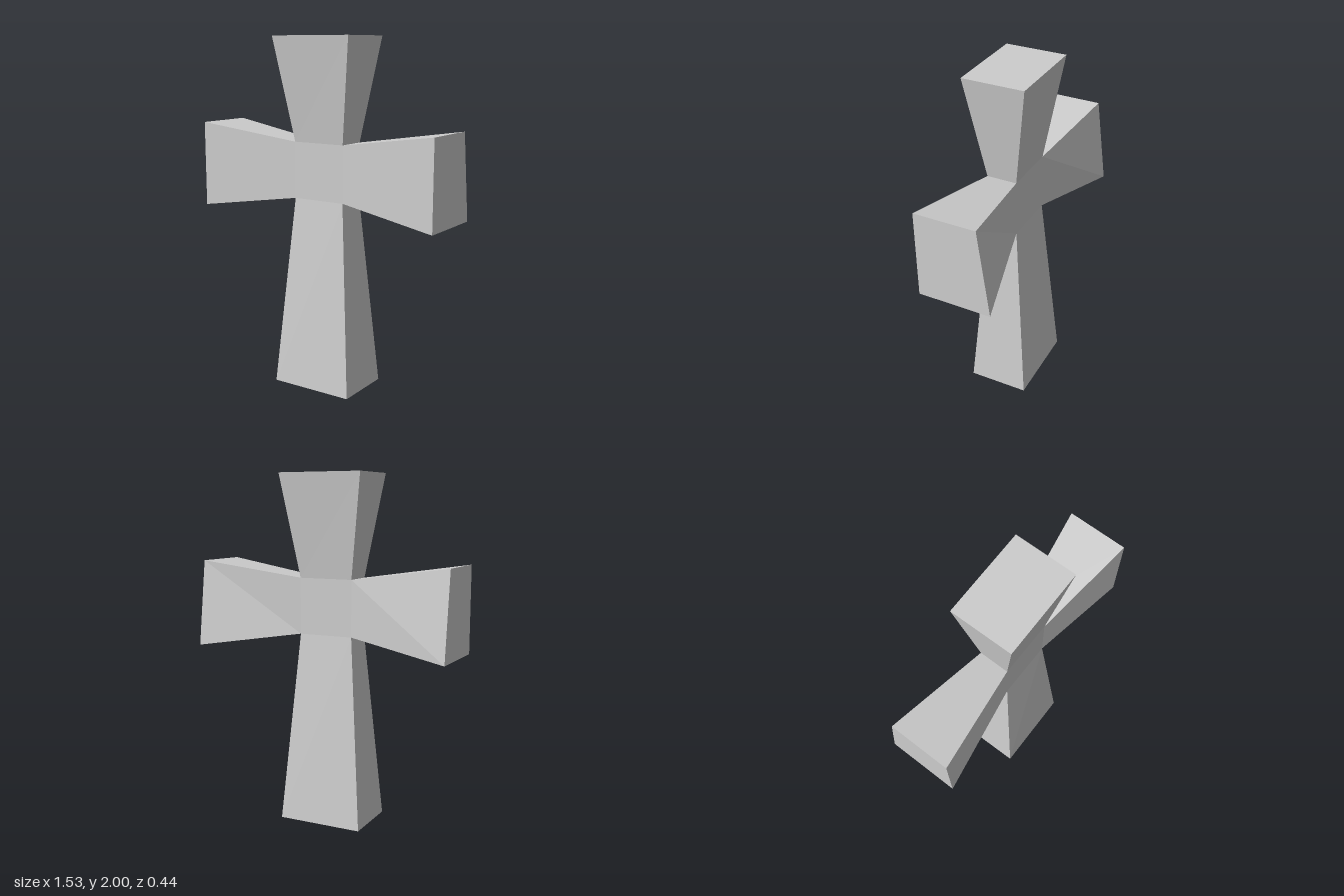
import * as THREE from 'three';

// Flat-shaded mesh from quads, corners counter-clockwise seen from outside
function quadMesh(name, quads, material) {
  const points = quads.flatMap(([a, b, c, d]) => [a, b, c, a, c, d]);
  const geometry = new THREE.BufferGeometry();
  geometry.setAttribute('position', new THREE.Float32BufferAttribute(points.flat(), 3));
  geometry.computeVertexNormals();
  const mesh = new THREE.Mesh(geometry, material);
  mesh.name = name;
  return mesh;
}

// Flared arm: four sides from the root ring to the tip ring, plus the end cap
function flaredArm(name, root, tip, material) {
  const quads = root.map((corner, i) => {
    const j = (i + 1) % 4;
    return [corner, root[j], tip[j], tip[i]];
  });
  quads.push(tip);
  return quadMesh(name, quads, material);
}

// Rectangle at height y, slightly turned about the vertical axis:
// front left, front right, back right, back left
const ring = (y, w, front, back) => [
  [-w, y, front - 0.008], [w - 0.003, y, front], [w, y, back], [-w + 0.003, y, back - 0.008],
];

export function createModel() {
  const stone = new THREE.MeshStandardMaterial({ color: 0xcccccc });
  stone.name = 'lightGrey';
  const group = new THREE.Group();
  group.name = 'flaredCross';

  // Rings of the crossing block and of the upright's two ends
  const upper = ring(1.415, 0.162, 0.121, -0.052);
  const lower = ring(1.093, 0.162, 0.121, -0.052);
  const top = ring(2, 0.25, 0.21, -0.14);
  const bottom = ring(0, 0.25, 0.21, -0.14);

  group.add(quadMesh('crossing', [
    [lower[0], lower[1], upper[1], upper[0]],
    [lower[2], lower[3], upper[3], upper[2]],
  ], stone));

  group.add(flaredArm('topArm', upper, top, stone));
  group.add(flaredArm('shaft', [...lower].reverse(), [...bottom].reverse(), stone));

  // Side arms, whose backs lean outward toward the bottom
  group.add(flaredArm('leftArm',
    [lower[1], lower[2], upper[2], upper[1]],
    [[0.755, 1.007, 0.217], [0.762, 1.007, -0.196], [0.76, 1.502, -0.131], [0.755, 1.502, 0.217]],
    stone));
  group.add(flaredArm('rightArm',
    [lower[3], lower[0], upper[0], upper[3]],
    [[-0.757, 1.007, -0.221], [-0.765, 1.007, 0.19], [-0.765, 1.502, 0.19], [-0.758, 1.502, -0.158]],
    stone));

  return group;
}
